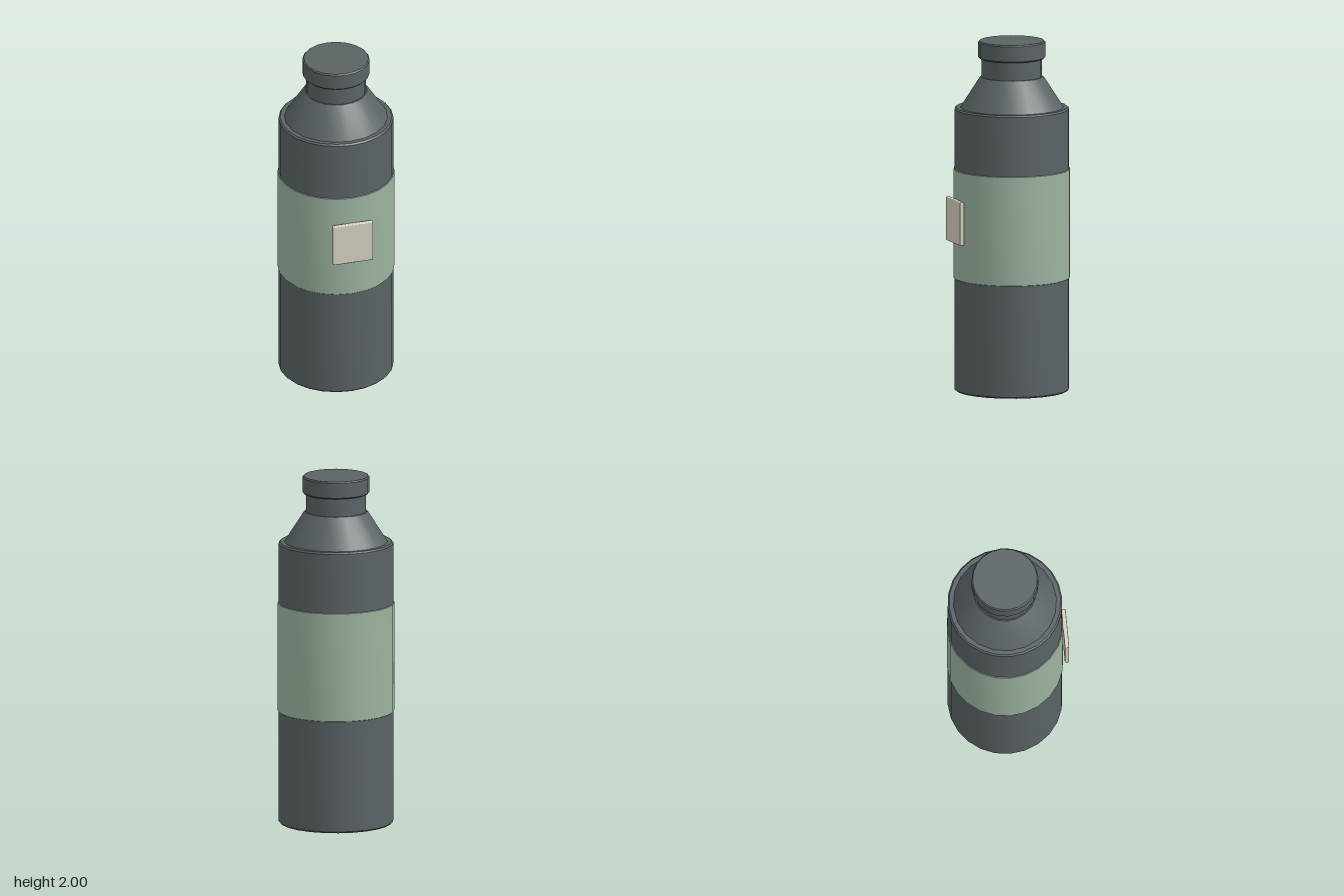
import * as THREE from 'three';
import { toCreasedNormals } from 'three/addons/utils/BufferGeometryUtils.js';
import { RoundedBoxGeometry } from 'three/addons/geometries/RoundedBoxGeometry.js';

const material = (name, color) => {
  const m = new THREE.MeshStandardMaterial({ color });
  m.name = name;
  return m;
};

// Closed turned solid between two heights, with small chamfers on both rims
function turned(name, mat, sides, y0, y1, r0, r1, bevel) {
  const profile = [
    [0, y0], [r0 - bevel, y0], [r0, y0 + bevel],
    [r1, y1 - bevel], [r1 - bevel, y1], [0, y1],
  ].map(([r, y]) => new THREE.Vector2(r, y));
  const geometry = toCreasedNormals(new THREE.LatheGeometry(profile, sides), 0.5);
  const mesh = new THREE.Mesh(geometry, mat);
  mesh.name = name;
  return mesh;
}

export function createModel() {
  const dark = material('charcoal', 0x5a6265);
  const green = material('sage green', 0x9cb3a0);
  const cream = material('cream', 0xd5cfc0);

  // Bottle, set slightly back so that the plate fits at the front
  const bottle = new THREE.Group();
  bottle.name = 'bottle';
  bottle.position.z = -0.0125;
  bottle.add(
    turned('body', dark, 24, 0, 1.62, 0.325, 0.325, 0.009),
    turned('shoulder', dark, 20, 1.6, 1.795, 0.3, 0.185, 0.008),
    turned('neck', dark, 20, 1.77, 1.92, 0.17, 0.17, 0.004),
    turned('cap', dark, 20, 1.9, 2, 0.19, 0.19, 0.007),
    turned('sleeve', green, 24, 0.645, 1.27, 0.33, 0.33, 0.002),
  );

  // Small plate on the front of the sleeve
  const plate = new THREE.Mesh(new RoundedBoxGeometry(0.235, 0.25, 0.025, 2, 0.006), cream);
  plate.name = 'frontPlate';
  plate.position.set(0, 0.985, 0.3295);

  const model = new THREE.Group();
  model.name = 'flask';
  model.add(bottle, plate);
  return model;
}
